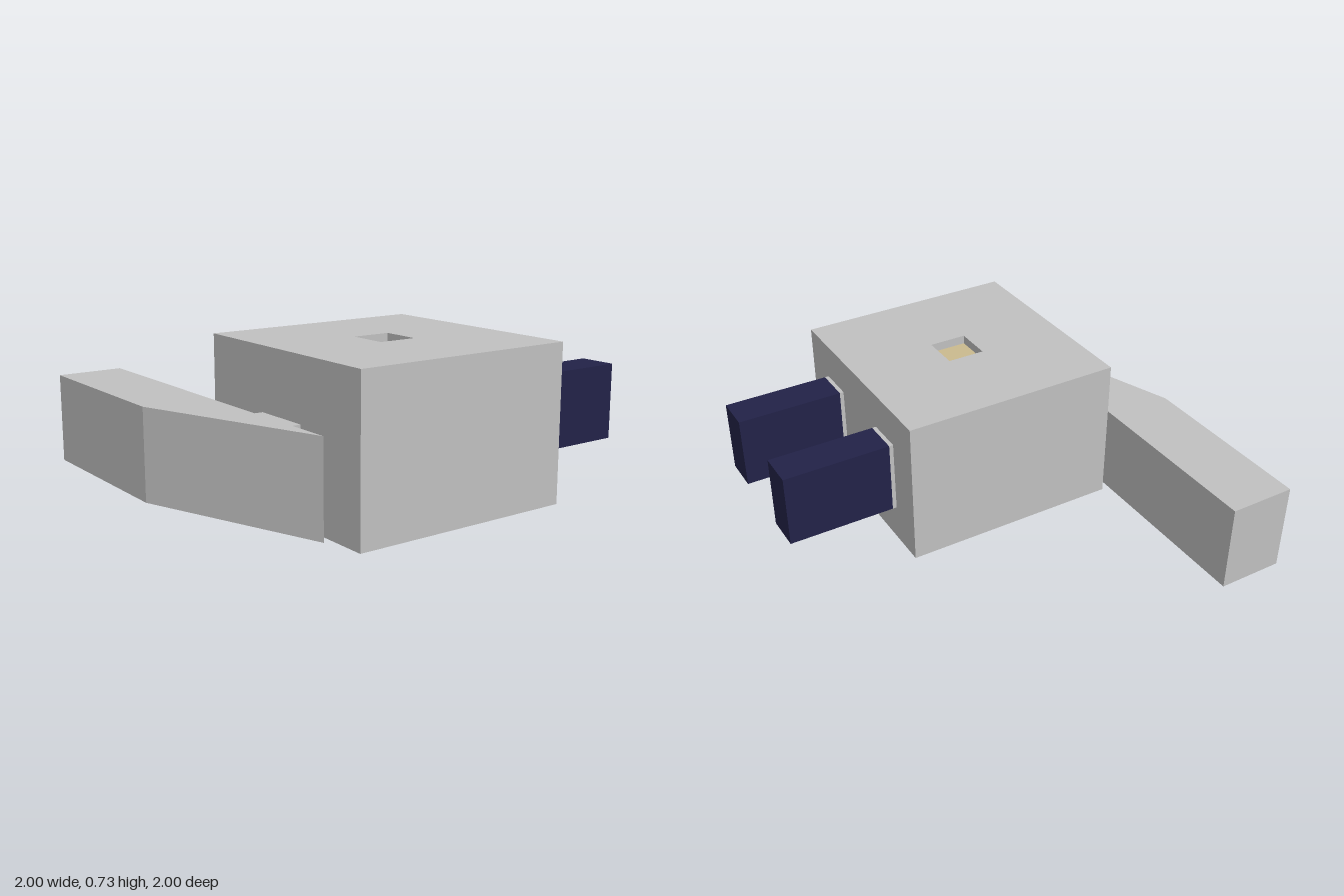
import * as THREE from 'three';

const grey = new THREE.MeshStandardMaterial({ name: 'light grey', color: 0xc0c0c0 });
const navy = new THREE.MeshStandardMaterial({ name: 'navy', color: 0x222248 });
const tan = new THREE.MeshStandardMaterial({ name: 'tan', color: 0xcaba8e });

// Box from its min and max corners
function box(name, material, [x0, y0, z0], [x1, y1, z1]) {
  const mesh = new THREE.Mesh(new THREE.BoxGeometry(x1 - x0, y1 - y0, z1 - z0), material);
  mesh.position.set((x0 + x1) / 2, (y0 + y1) / 2, (z0 + z1) / 2);
  mesh.name = name;
  return mesh;
}

// Plan outline given as [x, z] points
const outline = (points) => points.map(([x, z]) => new THREE.Vector2(x, -z));
const rect = (x0, z0, x1, z1) => outline([[x0, z1], [x1, z1], [x1, z0], [x0, z0]]);

// Upright prism over a plan outline, with an optional hole
function prism(name, points, y0, y1, hole) {
  const shape = new THREE.Shape(points);
  if (hole) shape.holes.push(new THREE.Path(hole));
  const geometry = new THREE.ExtrudeGeometry(shape, { depth: y1 - y0, bevelEnabled: false });
  geometry.rotateX(-Math.PI / 2);
  const mesh = new THREE.Mesh(geometry, grey);
  mesh.position.y = y0;
  mesh.name = name;
  return mesh;
}

export function createModel() {
  const model = new THREE.Group();
  model.name = 'model';
  const top = 0.727, recess = 0.682;

  // Body block with a square recess in the top
  model.add(box('bodyBlock', grey, [-0.091, 0, -0.455], [1, recess, 0.636]));
  model.add(prism('bodyTop', rect(-0.091, -0.455, 1, 0.636), recess, top,
    rect(0.36, -0.003, 0.547, 0.183)));
  model.add(box('recessFloor', tan, [0.36, recess - 0.002, -0.003], [0.547, recess + 0.002, 0.183]));

  // Front arm with its slanted end, joined by a short neck
  model.add(prism('arm', outline([[-1, 0.675], [-1, 1], [-0.091, 1], [0.812, 0.675]]), 0, 0.437));
  model.add(box('neck', grey, [0.31, 0, 0.63], [0.597, 0.437, 0.676]));

  // Two rear prongs on thin grey roots
  for (const x of [0.091, 0.636]) {
    model.add(box('prongRoot', grey, [x, 0.185, -0.475], [x + 0.18, 0.546, -0.45]));
    model.add(box('prong', navy, [x, 0.185, -1], [x + 0.18, 0.546, -0.475]));
  }
  return model;
}
